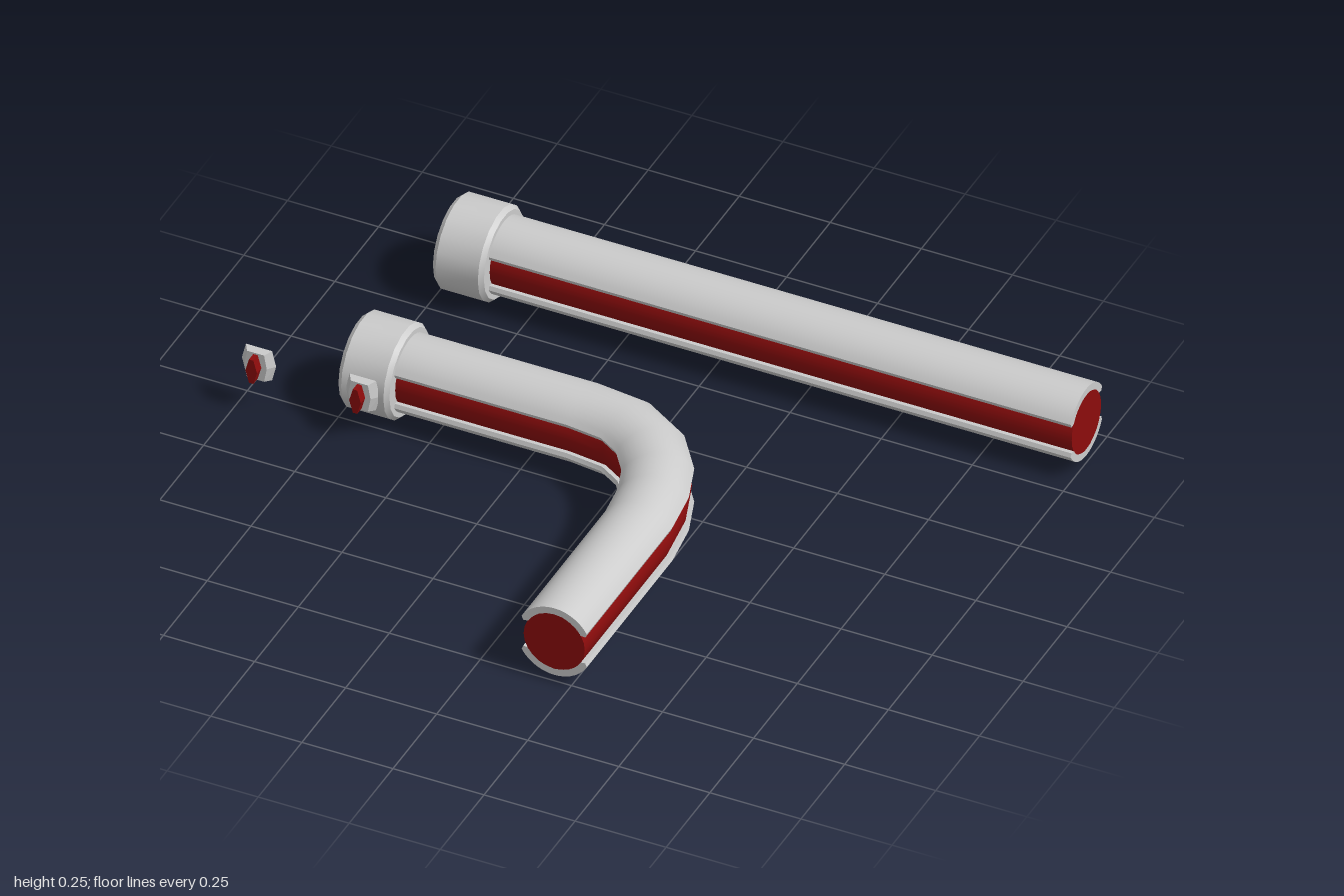
import * as THREE from 'three';
import { toCreasedNormals } from 'three/addons/utils/BufferGeometryUtils.js';

const Y = 0.132; // height of every axis
const grey = new THREE.MeshStandardMaterial({ color: 0xcccccc });
const red = new THREE.MeshStandardMaterial({ color: 0x8c0c0c });

function addMesh(parent, name, geometry, material) {
  const mesh = new THREE.Mesh(geometry, material);
  mesh.name = name;
  parent.add(mesh);
  return mesh;
}

// Sweeps a counter-clockwise section along a flat path of (x, z) points with mitred joints
function sweep(section, path) {
  const n = section.length, pos = [], index = [];
  path.forEach((p, i) => {
    const before = p.clone().sub(path[Math.max(i - 1, 0)]).normalize();
    const after = path[Math.min(i + 1, path.length - 1)].clone().sub(p).normalize();
    const t = before.clone().add(after).normalize();
    const stretch = 1 / t.dot(i ? before : after);
    for (const q of section) {
      pos.push(p.x + t.y * q.x * stretch, Y + q.y, p.y - t.x * q.x * stretch);
    }
  });
  const last = (path.length - 1) * n;
  for (let i = 0; i < path.length - 1; i++) {
    for (let j = 0; j < n; j++) {
      const a = i * n + j, b = i * n + (j + 1) % n;
      index.push(a, b, b + n, a, b + n, a + n);
    }
  }
  for (const [a, b, c] of THREE.ShapeUtils.triangulateShape(section, [])) {
    index.push(a, c, b, last + a, last + b, last + c);
  }
  const geo = new THREE.BufferGeometry();
  geo.setAttribute('position', new THREE.Float32BufferAttribute(pos, 3));
  geo.setIndex(index);
  return toCreasedNormals(geo, 0.6);
}

const polar = (r, a) => new THREE.Vector2(r * Math.cos(a), r * Math.sin(a));

// Round core section
const coreSection = Array.from({ length: 24 }, (_, i) => polar(0.084, i / 24 * Math.PI * 2));

// Curved shell section covering the top or bottom of the core, with rounded lips
function shellSection(turn) {
  const pts = [], start = Math.PI * 0.165, end = Math.PI - start, steps = 14;
  for (let i = 0; i <= steps; i++) pts.push(polar(0.103, turn + start + (end - start) * i / steps));
  pts.push(polar(0.094, turn + end + 0.08));
  for (let i = steps; i >= 0; i--) pts.push(polar(0.083, turn + start + (end - start) * i / steps));
  pts.push(polar(0.094, turn + start - 0.08));
  return pts;
}

// Bevelled end cap, its axis along x
function capGeometry() {
  const profile = [[0, 0], [0.117, 0], [0.127, 0.012], [0.127, 0.128], [0.117, 0.14], [0, 0.14]];
  const geo = new THREE.LatheGeometry(profile.map(([r, h]) => new THREE.Vector2(r, h)), 18);
  geo.rotateZ(-Math.PI / 2);
  return toCreasedNormals(geo, 0.6);
}

function makeRod(name, points) {
  const rod = new THREE.Group();
  rod.name = name;
  const path = points.map(([x, z]) => new THREE.Vector2(x, z));
  addMesh(rod, 'core', sweep(coreSection, path), red);
  addMesh(rod, 'upperShell', sweep(shellSection(0), path), grey);
  addMesh(rod, 'lowerShell', sweep(shellSection(Math.PI), path), grey);
  addMesh(rod, 'endCap', capGeometry(), grey).position.set(-0.738, Y, points[0][1]);
  return rod;
}

function prism(points, depth) {
  const shape = new THREE.Shape(points.map(([x, y]) => new THREE.Vector2(x, y)));
  return new THREE.ExtrudeGeometry(shape, { depth, bevelEnabled: false });
}

// Six-sided plate tapering to the front, with a pointed red stud
function makeButton(name, x) {
  const button = new THREE.Group();
  button.name = name;
  const plate = prism([[0.047, 0], [0.036, 0.045], [-0.036, 0.045],
    [-0.047, 0], [-0.036, -0.045], [0.036, -0.045]], 0.02);
  const p = plate.attributes.position;
  for (let i = 0; i < p.count; i++) {
    if (p.getZ(i) > 0.01) p.setXY(i, p.getX(i) * 0.65, p.getY(i) * 0.9);
  }
  plate.computeVertexNormals();
  addMesh(button, 'plate', plate, grey);
  const stud = prism([[0.016, 0], [0.006, 0.036], [-0.006, 0.036],
    [-0.016, 0], [-0.006, -0.036], [0.006, -0.036]], 0.027);
  addMesh(button, 'stud', stud, red).position.z = 0.018;
  button.position.set(x, Y, 0.031);
  return button;
}

export function createModel() {
  const model = new THREE.Group();
  model.name = 'rodSet';
  model.add(makeRod('straightRod', [[-0.64, -0.632], [1, -0.632]]));
  model.add(makeRod('bentRod', [[-0.64, -0.092], [-0.12, -0.092], [0.005, -0.077],
    [0.095, -0.022], [0.158, 0.065], [0.19, 0.157], [0.205, 0.27], [0.205, 0.755]]));
  model.add(makeButton('looseButton', -0.953));
  model.add(makeButton('capButton', -0.668));
  return model;
}
